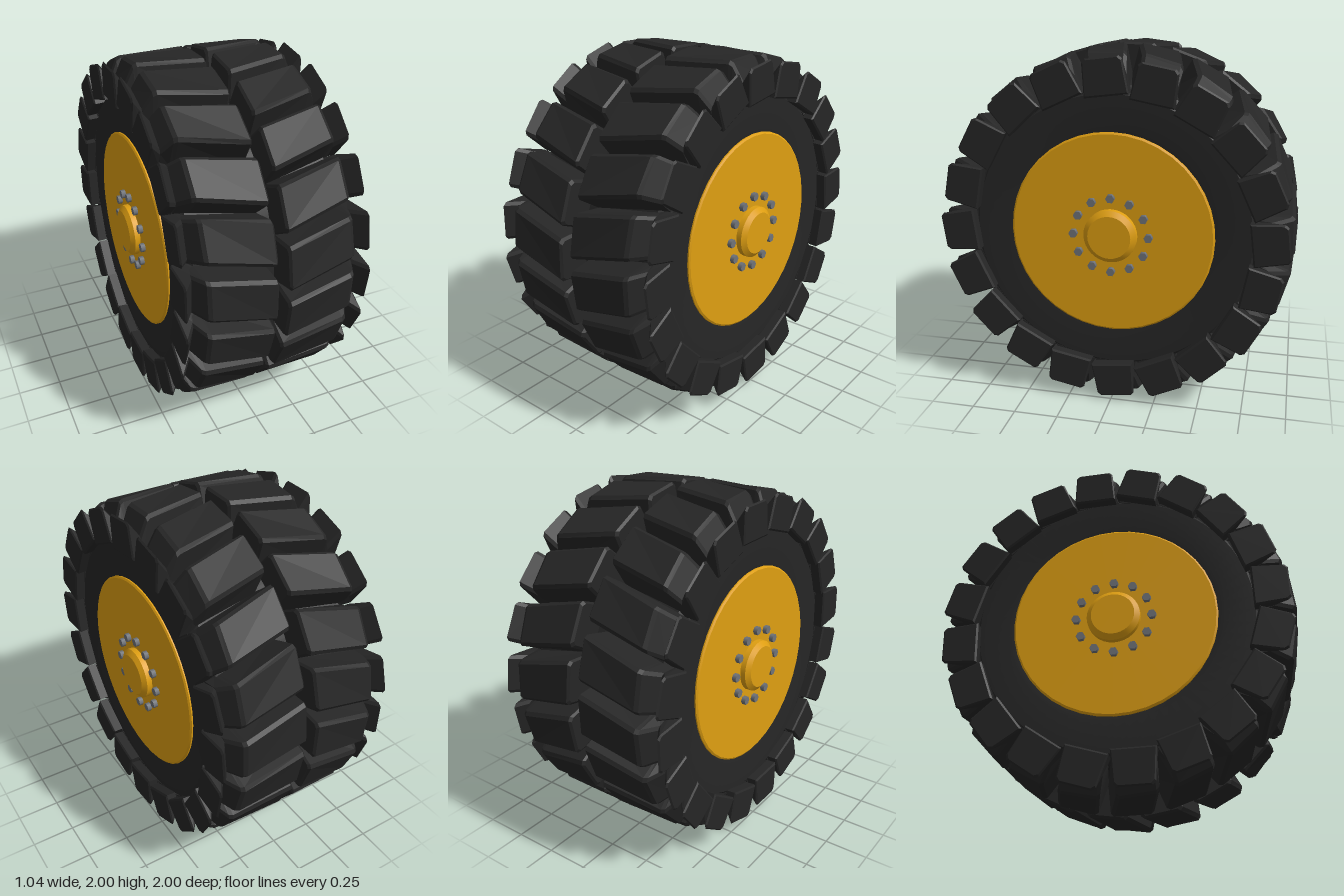
import * as THREE from 'three';
import { toCreasedNormals } from 'three/addons/utils/BufferGeometryUtils.js';

const LUGS = 20, STEP = (Math.PI * 2) / LUGS, START = 0.025;

// Block lofted along x: each section is [x, topRadius, baseRadius, halfWidth, twist]
function loftBlock(sections, side, lean = 0) {
  const pivot = 0.87, bevel = 0.018;
  const rings = sections.map(([x, top, base, half, twist]) => {
    const outline = [
      [-half - 0.012, base], [-half, top - bevel], [-half + bevel, top],
      [half - bevel, top], [half, top - bevel], [half + 0.012, base],
    ];
    return outline.map(([z, y]) => {
      const p = new THREE.Vector3(0, y - pivot, z).applyAxisAngle(new THREE.Vector3(1, 0, 0), lean);
      p.y += pivot;
      p.applyAxisAngle(new THREE.Vector3(1, 0, 0), twist);
      p.x = x * side;
      return p;
    });
  });
  const points = [];
  const tri = (a, b, c) => points.push(...(side > 0 ? [a, b, c] : [a, c, b]));
  const n = 6, last = rings[rings.length - 1];
  for (let i = 0; i < rings.length - 1; i++) {
    for (let k = 0; k < n; k++) {
      const j = (k + 1) % n, a = rings[i], b = rings[i + 1];
      tri(a[k], a[j], b[k]);
      tri(a[j], b[j], b[k]);
    }
  }
  for (let k = 1; k < n - 1; k++) {
    tri(rings[0][0], rings[0][k + 1], rings[0][k]);
    tri(last[0], last[k], last[k + 1]);
  }
  const geometry = new THREE.BufferGeometry().setFromPoints(points);
  geometry.computeVertexNormals();
  return geometry;
}

// Turned part whose axis lies along x; profile is [radius, x]
function turned(profile, segments, side = 1) {
  const lathe = new THREE.LatheGeometry(profile.map(([r, x]) => new THREE.Vector2(r, x)), segments);
  lathe.rotateZ((-side * Math.PI) / 2);
  return toCreasedNormals(lathe, 0.4);
}

export function createModel() {
  const rubber = new THREE.MeshStandardMaterial({ color: 0x262626 });
  rubber.name = 'black rubber';
  const paint = new THREE.MeshStandardMaterial({ color: 0xdf9f12 });
  paint.name = 'yellow paint';
  const steel = new THREE.MeshStandardMaterial({ color: 0x70747a });
  steel.name = 'grey steel';

  const wheel = new THREE.Group();
  wheel.name = 'wheel';
  wheel.position.y = 1;
  const add = (geometry, material, name, parent = wheel) => {
    const mesh = new THREE.Mesh(geometry, material);
    mesh.name = name;
    parent.add(mesh);
    return mesh;
  };

  // Tyre body and rim disc
  add(turned([[0.555, -0.45], [0.6, -0.457], [0.77, -0.457], [0.82, -0.41],
    [0.82, 0.41], [0.77, 0.457], [0.6, 0.457], [0.555, 0.45]], 60), rubber, 'tyreBody');
  add(turned([[0, -0.467], [0.56, -0.467], [0.57, -0.46],
    [0.57, 0.46], [0.56, 0.467], [0, 0.467]], 40), paint, 'rim');

  const boltGeometry = new THREE.CylinderGeometry(0.025, 0.025, 0.03, 6).toNonIndexed();
  boltGeometry.rotateZ(Math.PI / 2);

  for (const side of [1, -1]) {
    const label = side > 0 ? 'left' : 'right';
    const half = new THREE.Group();
    half.name = label + 'Side';
    wheel.add(half);

    // Slanted tread lugs and flared shoulder blocks, staggered by half a step
    const twist = (x) => 0.1 * (1 - (x - 0.03) / 0.425);
    const lug = loftBlock([
      [0.03, 0.982, 0.79, 0.108, twist(0.03)],
      [0.042, 0.994, 0.79, 0.12, twist(0.042)],
      [0.39, 0.986, 0.79, 0.113, twist(0.39)],
      [0.41, 0.974, 0.79, 0.112, twist(0.41)],
      [0.457, 0.88, 0.77, 0.106, 0],
    ], side);
    const shoulder = loftBlock([
      [0.4, 0.84, 0.775, 0.1, 0],
      [0.45, 0.875, 0.77, 0.106, 0],
      [0.512, 0.965, 0.765, 0.108, 0],
      [0.52, 0.957, 0.775, 0.1, 0],
    ], side, 0.1);
    for (let i = 0; i < LUGS; i++) {
      const angle = START + (i + (side > 0 ? 0 : 0.5)) * STEP;
      add(lug, rubber, 'treadLug', half).rotation.x = angle;
      add(shoulder, rubber, 'shoulderBlock', half).rotation.x = angle;
    }

    // Hub cap with chamfered edge
    add(turned([[0.148, 0.46], [0.148, 0.498], [0.12, 0.52], [0, 0.52]], 32, side), paint, 'hubCap', half);

    // Ring of wheel bolts
    for (let i = 0; i < 12; i++) {
      const a = (i * Math.PI) / 6;
      add(boltGeometry, steel, 'wheelBolt', half)
        .position.set(side * 0.477, 0.211 * Math.cos(a), 0.211 * Math.sin(a));
    }
  }

  const model = new THREE.Group();
  model.name = 'treadedWheel';
  model.add(wheel);
  return model;
}
